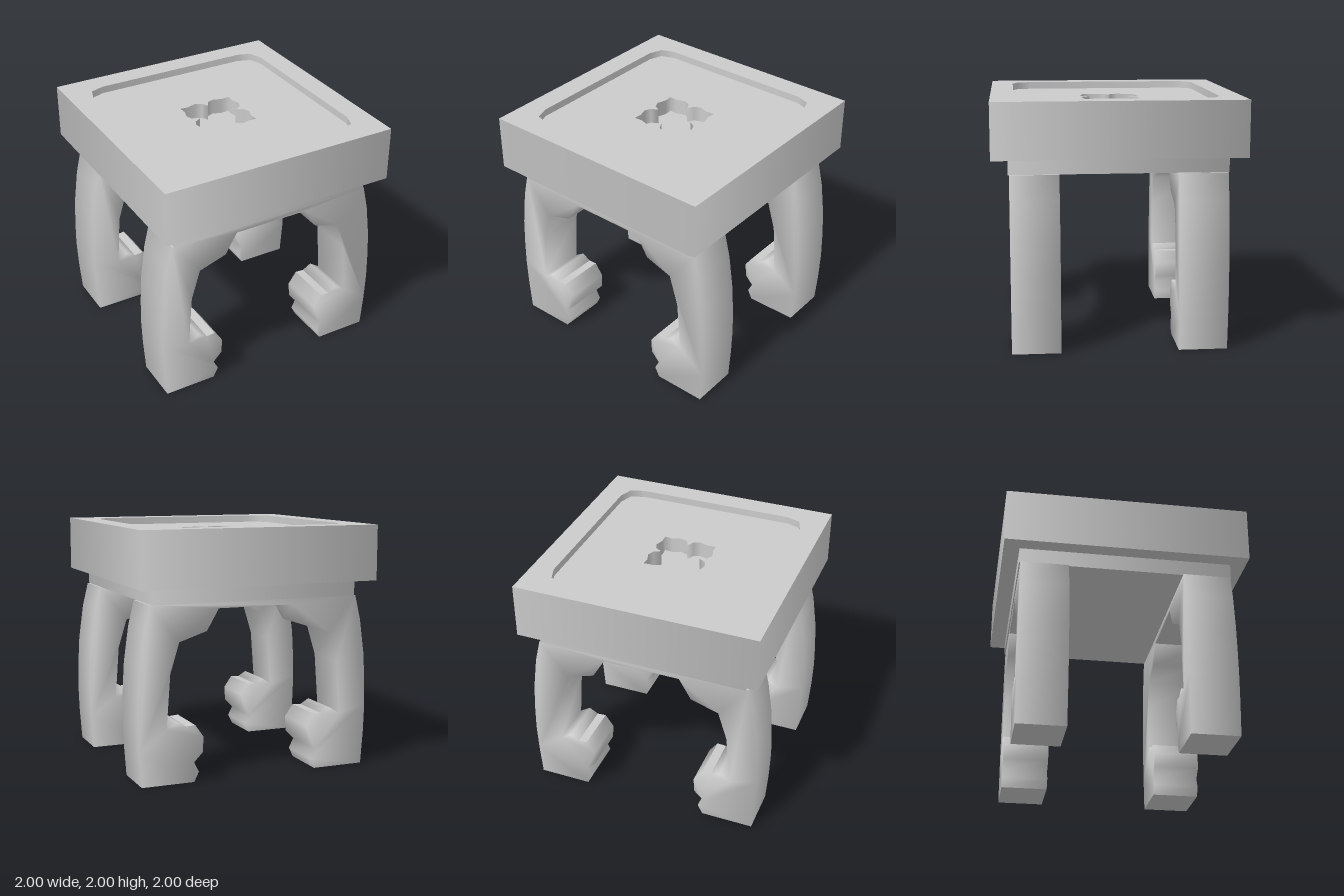
import * as THREE from 'three';

const material = new THREE.MeshStandardMaterial({ color: 0xcccccc });

// Soft shading around the walls, while level faces stay flat
function softenWalls(geometry) {
  const g = geometry.index ? geometry.toNonIndexed() : geometry;
  const p = g.attributes.position;
  const sums = new Map();
  const faces = [];
  const key = (v) => v.toArray().map((n) => Math.round(n * 1e4)).join();
  for (let i = 0; i < p.count; i += 3) {
    const c = [0, 1, 2].map((k) => new THREE.Vector3().fromBufferAttribute(p, i + k));
    const n = c[1].clone().sub(c[0]).cross(c[2].clone().sub(c[0]));
    const level = Math.abs(n.y) > 0.99 * n.length();
    faces.push({ c, n, level });
    if (level) continue;
    for (const v of c) {
      const k = key(v);
      if (!sums.has(k)) sums.set(k, new THREE.Vector3());
      // weight by corner angle
      const [a, b] = c.filter((w) => w !== v).map((w) => w.clone().sub(v));
      sums.get(k).addScaledVector(n.clone().normalize(), a.angleTo(b));
    }
  }
  const normals = [];
  for (const { c, n, level } of faces) {
    for (const v of c) normals.push(...(level ? n : sums.get(key(v))).clone().normalize().toArray());
  }
  g.setAttribute('normal', new THREE.Float32BufferAttribute(normals, 3));
  return g;
}

const toPoints = (list) => list.map(([x, y]) => new THREE.Vector2(x, y));

// Repeats a list of points four times around the centre
function fourfold(list) {
  const out = [];
  for (let q = 0; q < 4; q++) {
    for (const [x, y] of list) {
      out.push([[x, y], [-y, x], [-x, -y], [y, -x]][q]);
    }
  }
  return out;
}

// Horizontal plate from y0 to y1, with an optional cut-out
function plate(name, half, y0, y1, hole) {
  const shape = new THREE.Shape(toPoints(fourfold([[half, half]])));
  if (hole) shape.holes.push(new THREE.Path(toPoints(hole)));
  const g = new THREE.ExtrudeGeometry(shape, { depth: y1 - y0, bevelEnabled: false });
  g.rotateX(-Math.PI / 2).translate(0, y0, 0);
  const mesh = new THREE.Mesh(softenWalls(g), material);
  mesh.name = name;
  return mesh;
}

export function createModel() {
  const model = new THREE.Group();
  model.name = 'stool';

  // Seat: rim around a shallow recess, with a four-lobed well in the middle
  const recess = fourfold([[0.815, -0.66], [0.815, 0.66], [0.775, 0.775], [0.66, 0.815]]
    .slice(1).concat([]));
  const well = fourfold([
    [0, -0.168], [0.03, -0.225], [0.085, -0.248], [0.16, -0.225],
    [0.226, -0.23], [0.222, -0.16], [0.246, -0.085], [0.225, -0.03],
  ]);
  const seat = new THREE.Group();
  seat.name = 'seat';
  seat.add(
    plate('seatRim', 1, 1.94, 2, recess),
    plate('seatPanel', 1, 1.81, 1.94, well),
    plate('seatBase', 1, 1.55, 1.81),
  );
  model.add(seat, plate('apron', 0.87, 1.42, 1.55));

  // Leg pair: scrolled feet and curved legs joined by a thin top rail
  const half = [
    [0.53, 0], [0.965, 0], [0.985, 0.27], [0.993, 0.5], [0.988, 0.7], [0.975, 0.93],
    [0.935, 1.22], [0.887, 1.42],
  ];
  const inner = [
    [0.32, 1.372], [0.42, 1.2], [0.65, 1.125], [0.725, 0.88], [0.758, 0.44],
    [0.67, 0.498], [0.595, 0.455], [0.52, 0.46], [0.45, 0.36], [0.457, 0.235],
    [0.53, 0.16], [0.49, 0.08],
  ];
  const rightSide = [...inner, ...half];
  const leftSide = rightSide.map(([x, y]) => [-x, y]).reverse();
  const profile = new THREE.Shape(toPoints([...rightSide, ...leftSide]));
  const legs = softenWalls(new THREE.ExtrudeGeometry(profile, { depth: 0.39, bevelEnabled: false }));
  for (const [name, z] of [['frontLegs', 0.47], ['backLegs', -0.86]]) {
    const mesh = new THREE.Mesh(legs, material);
    mesh.name = name;
    mesh.position.z = z;
    model.add(mesh);
  }
  return model;
}
